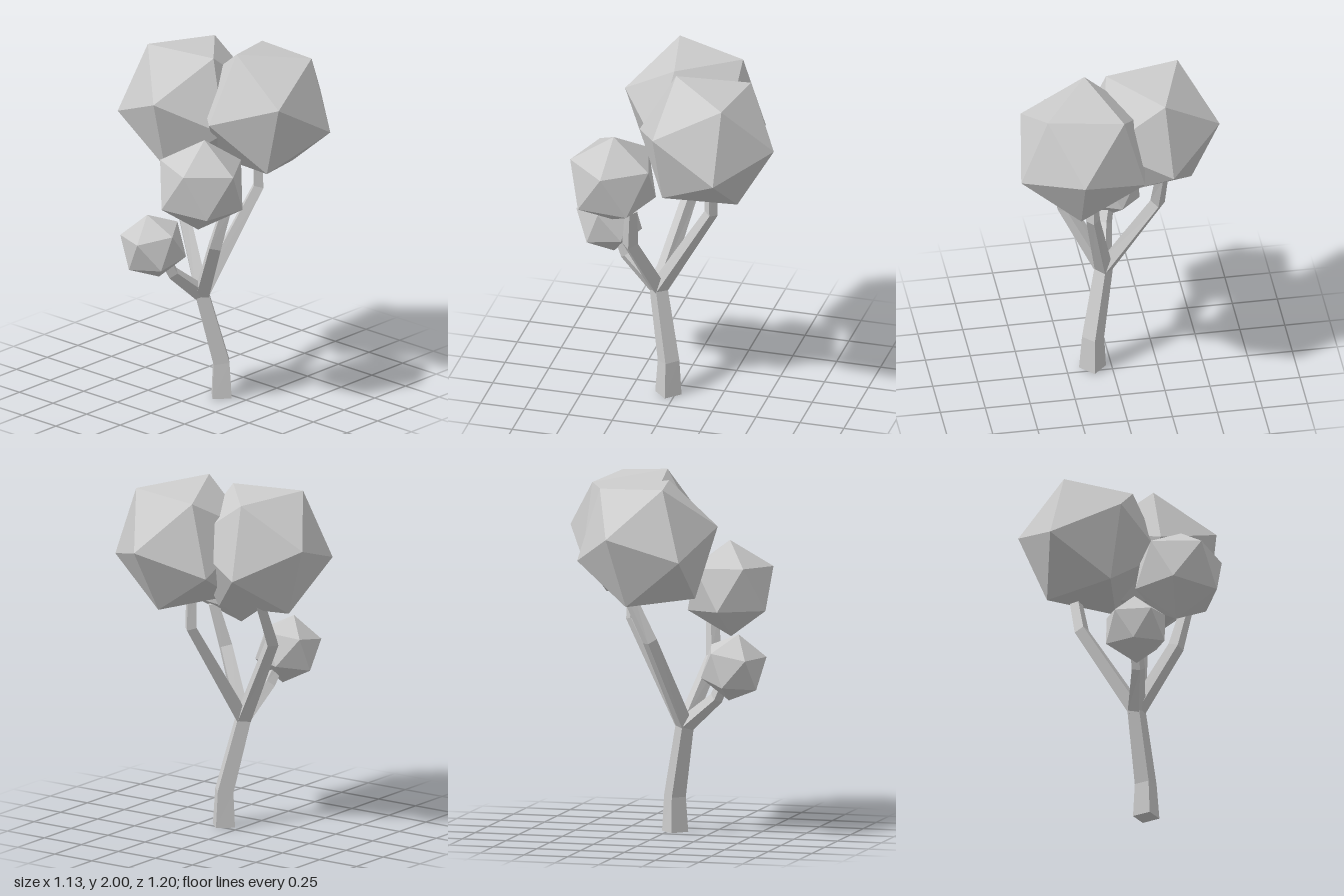
import * as THREE from 'three';

const material = new THREE.MeshStandardMaterial({ color: 0xcccccc, flatShading: true });
const UP = new THREE.Vector3(0, 1, 0);

function addMesh(group, name, geometry) {
  const mesh = new THREE.Mesh(geometry, material);
  mesh.name = name;
  group.add(mesh);
  return mesh;
}

// Orthonormal frame whose y axis is a, with b lying in its x-y plane
function frame(a, b) {
  const y = a.clone().normalize();
  const x = b.clone().addScaledVector(y, -b.dot(y)).normalize();
  return new THREE.Matrix4().makeBasis(x, y, x.clone().cross(y));
}

// Four-sided tapering limb; each stop is [x, y, z, half diagonal]
function limbGeometry(stops) {
  const points = stops.map(([x, y, z]) => new THREE.Vector3(x, y, z));
  const positions = [];
  const index = [];
  const last = stops.length - 1;
  stops.forEach(([, , , radius], i) => {
    const tangent = new THREE.Vector3();
    if (i > 0) tangent.add(points[i].clone().sub(points[i - 1]).normalize());
    if (i < last) tangent.add(points[i + 1].clone().sub(points[i]).normalize());
    const turn = new THREE.Quaternion().setFromUnitVectors(UP, tangent.normalize());
    for (let k = 0; k < 4; k++) {
      const angle = (k * Math.PI) / 2;
      const corner = new THREE.Vector3(Math.sin(angle), 0, Math.cos(angle)).multiplyScalar(radius);
      positions.push(...corner.applyQuaternion(turn).add(points[i]).toArray());
      if (i < last) {
        const a = i * 4 + k;
        const b = i * 4 + ((k + 1) % 4);
        index.push(a, b, b + 4, a, b + 4, a + 4);
      }
    }
  });
  const t = last * 4;
  index.push(0, 2, 1, 0, 3, 2, t, t + 1, t + 2, t, t + 2, t + 3);
  const geometry = new THREE.BufferGeometry();
  geometry.setAttribute('position', new THREE.Float32BufferAttribute(positions, 3));
  geometry.setIndex(index);
  const flat = geometry.toNonIndexed();
  flat.computeVertexNormals();
  return flat;
}

// Icosahedron turned so that two neighbouring corners point at top and next
function addCrown(group, name, radius, centre, top, next) {
  const c = new THREE.Vector3(...centre);
  const target = frame(new THREE.Vector3(...top).sub(c), new THREE.Vector3(...next).sub(c));
  const t = (1 + Math.sqrt(5)) / 2;
  const source = frame(new THREE.Vector3(-1, t, 0), new THREE.Vector3(1, t, 0));
  const geometry = new THREE.IcosahedronGeometry(radius, 0);
  geometry.applyMatrix4(target.multiply(source.invert()));
  addMesh(group, name, geometry).position.copy(c);
}

export function createModel() {
  const tree = new THREE.Group();
  tree.name = 'tree';

  // Bent trunk
  addMesh(tree, 'trunk', limbGeometry([
    [0.105, 0, 0.04, 0.075], [0.102, 0.2, 0.04, 0.062], [0.03, 0.6, 0.117, 0.052],
  ]));

  // Branches, each with one elbow, spreading from the fork
  const branches = {
    rightBranch: [[-0.25, 1.1, 0, 0.042], [-0.255, 1.37, -0.13, 0.036]],
    backBranch: [[0.145, 1.17, -0.215, 0.038], [0.145, 1.4, -0.21, 0.034]],
    leftBranch: [[0.225, 0.96, 0.225, 0.045], [0.29, 1.2, 0.2, 0.036]],
    frontBranch: [[-0.01, 0.765, 0.31, 0.038], [-0.04, 0.89, 0.37, 0.034]],
  };
  for (const [name, stops] of Object.entries(branches)) {
    addMesh(tree, name, limbGeometry([[0.03, 0.6, 0.117, 0.05], ...stops]));
  }

  // Faceted leaf crowns
  addCrown(tree, 'rightCrown', 0.4, [-0.196, 1.633, -0.03], [-0.38, 1.96, 0.11], [0.03, 1.955, 0.027]);
  addCrown(tree, 'backCrown', 0.4, [0.2, 1.647, -0.205], [0.42, 1.952, -0.35], [0.163, 2, -0.022]);
  addCrown(tree, 'leftCrown', 0.265, [0.214, 1.345, 0.325], [0.23, 1.61, 0.317], [0.284, 1.46, 0.547]);
  addCrown(tree, 'frontCrown', 0.19, [-0.055, 0.946, 0.422], [-0.07, 1.132, 0.454], [-0.014, 1, 0.594]);

  return tree;
}
